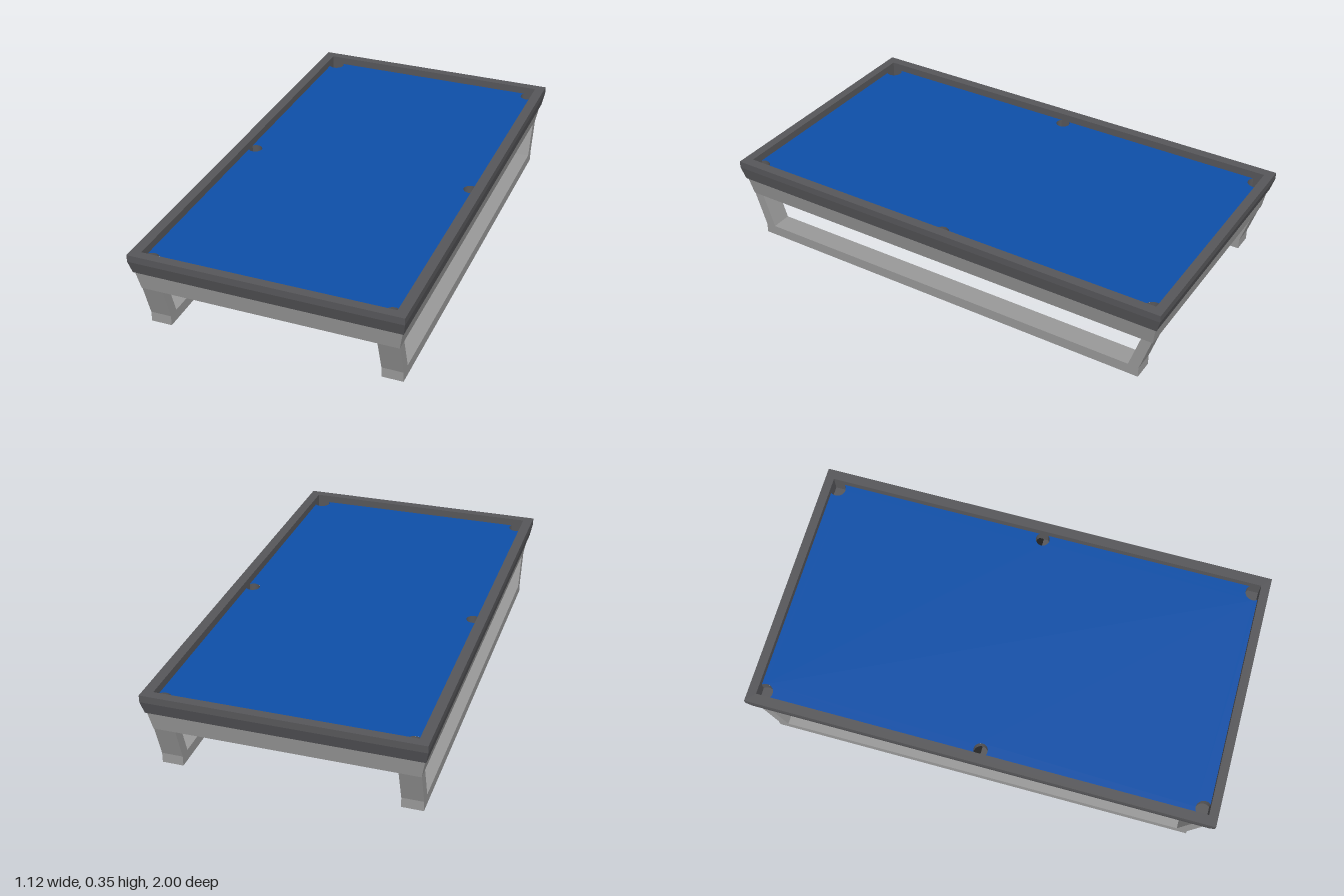
import * as THREE from 'three';

const darkTrim = new THREE.MeshStandardMaterial({ name: 'dark trim', color: 0x57575a });
const frameGrey = new THREE.MeshStandardMaterial({ name: 'frame grey', color: 0x999999 });
const clothBlue = new THREE.MeshStandardMaterial({ name: 'cloth blue', color: 0x0e4fa8 });
const holeBlack = new THREE.MeshStandardMaterial({ name: 'hole black', color: 0x1c1c1c });
darkTrim.side = THREE.DoubleSide;

const INNER_X = 0.518, INNER_Z = 0.962, CLOTH_Y = 0.322, CUP_Y = 0.275;
const CORNER = { x: 0.492, z: 0.94, r: 0.035 };
const SIDE = { x: 0.495, z: 0, r: 0.03 };

// Rectangular rings [halfX, halfZ, y] joined into flat faces
function ringLoft(rings) {
  const signs = [[1, 1], [1, -1], [-1, -1], [-1, 1]];
  const point = (i, k) => {
    const [hx, hz, y] = rings[i], [sx, sz] = signs[k % 4];
    return [sx * hx, y, sz * hz];
  };
  const pos = [];
  for (let i = 0; i < rings.length - 1; i++) {
    for (let k = 0; k < 4; k++) {
      const a = point(i, k), b = point(i + 1, k), c = point(i + 1, k + 1), d = point(i, k + 1);
      pos.push(...a, ...b, ...c, ...a, ...c, ...d);
    }
  }
  const geo = new THREE.BufferGeometry();
  geo.setAttribute('position', new THREE.Float32BufferAttribute(pos, 3));
  geo.computeVertexNormals();
  return geo;
}

// Playing surface outline: one quarter with pocket cut-outs, mirrored four ways
function clothGeometry() {
  const quarter = [];
  const arc = (p, from, to, n) => {
    for (let i = 0; i <= n; i++) {
      const t = from + (to - from) * i / n;
      quarter.push([p.x + p.r * Math.cos(t), p.z + p.r * Math.sin(t)]);
    }
  };
  arc(SIDE, Math.PI, Math.acos((INNER_X - SIDE.x) / SIDE.r), 8);
  arc(CORNER, -Math.acos((INNER_X - CORNER.x) / CORNER.r),
    -Math.PI - Math.asin((INNER_Z - CORNER.z) / CORNER.r), 14);
  const flip = (sx, sz) => quarter.map(([x, z]) => new THREE.Vector2(sx * x, sz * z));
  const outline = [
    ...flip(1, 1), ...flip(-1, 1).reverse(),
    ...flip(-1, -1).slice(1), ...flip(1, -1).reverse().slice(0, -1),
  ];
  return new THREE.ShapeGeometry(new THREE.Shape(outline)).rotateX(-Math.PI / 2);
}

export function createModel() {
  const model = new THREE.Group();
  model.name = 'poolTable';
  const add = (name, geo, mat, x = 0, y = 0, z = 0) => {
    const mesh = new THREE.Mesh(geo, mat);
    mesh.name = name;
    mesh.position.set(x, y, z);
    model.add(mesh);
    return mesh;
  };

  // Dark rail around the top
  add('rail', ringLoft([
    [INNER_X, INNER_Z, CUP_Y - 0.005], [INNER_X, INNER_Z, 0.355], [0.56, 1, 0.355],
    [0.56, 1, 0.325], [0.55, 0.984, 0.27], [0.53, 0.96, 0.27],
  ]), darkTrim);

  // Tapered apron and underside
  add('apron', ringLoft([[0.545, 0.978, 0.27], [0.53, 0.965, 0.19]]), frameGrey);
  add('underside', new THREE.PlaneGeometry(1.06, 1.93).rotateX(Math.PI / 2), frameGrey, 0, 0.19, 0);

  // Cloth
  add('cloth', clothGeometry(), clothBlue, 0, CLOTH_Y, 0);

  // Pocket cups
  const addPocket = (name, p, sx, sz) => {
    const depth = CLOTH_Y - CUP_Y;
    add(name + 'Wall', new THREE.CylinderGeometry(p.r, p.r, depth, 24, 1, true), darkTrim,
      sx * p.x, CUP_Y + depth / 2, sz * p.z);
    add(name + 'Floor', new THREE.CircleGeometry(p.r, 24).rotateX(-Math.PI / 2), darkTrim,
      sx * p.x, CUP_Y, sz * p.z);
  };
  for (const sx of [-1, 1]) {
    for (const sz of [-1, 1]) addPocket('cornerPocket', CORNER, sx, sz);
    addPocket('sidePocket', SIDE, sx, 1);
    // Dark half of the side pocket, toward the back
    add('sidePocketShade', new THREE.CircleGeometry(SIDE.r, 12, 0, Math.PI).rotateX(-Math.PI / 2),
      holeBlack, sx * SIDE.x, CUP_Y + 0.004, 0);
  }

  // Leg frames: slanted legs joined by a floor bar along each long side
  const half = [[0.915, 0], [0.915, 0.043], [0.962, 0.192], [0.917, 0.192], [0.87, 0.045]];
  const outline = [
    ...half.map(([z, y]) => new THREE.Vector2(z, y)),
    ...half.map(([z, y]) => new THREE.Vector2(-z, y)).reverse(),
  ];
  const legGeo = new THREE.ExtrudeGeometry(new THREE.Shape(outline), { depth: 0.088, bevelEnabled: false })
    .translate(0, 0, -0.044).rotateY(Math.PI / 2);
  for (const sx of [-1, 1]) add(sx > 0 ? 'leftLegFrame' : 'rightLegFrame', legGeo, frameGrey, sx * 0.486, 0, 0);

  return model;
}
